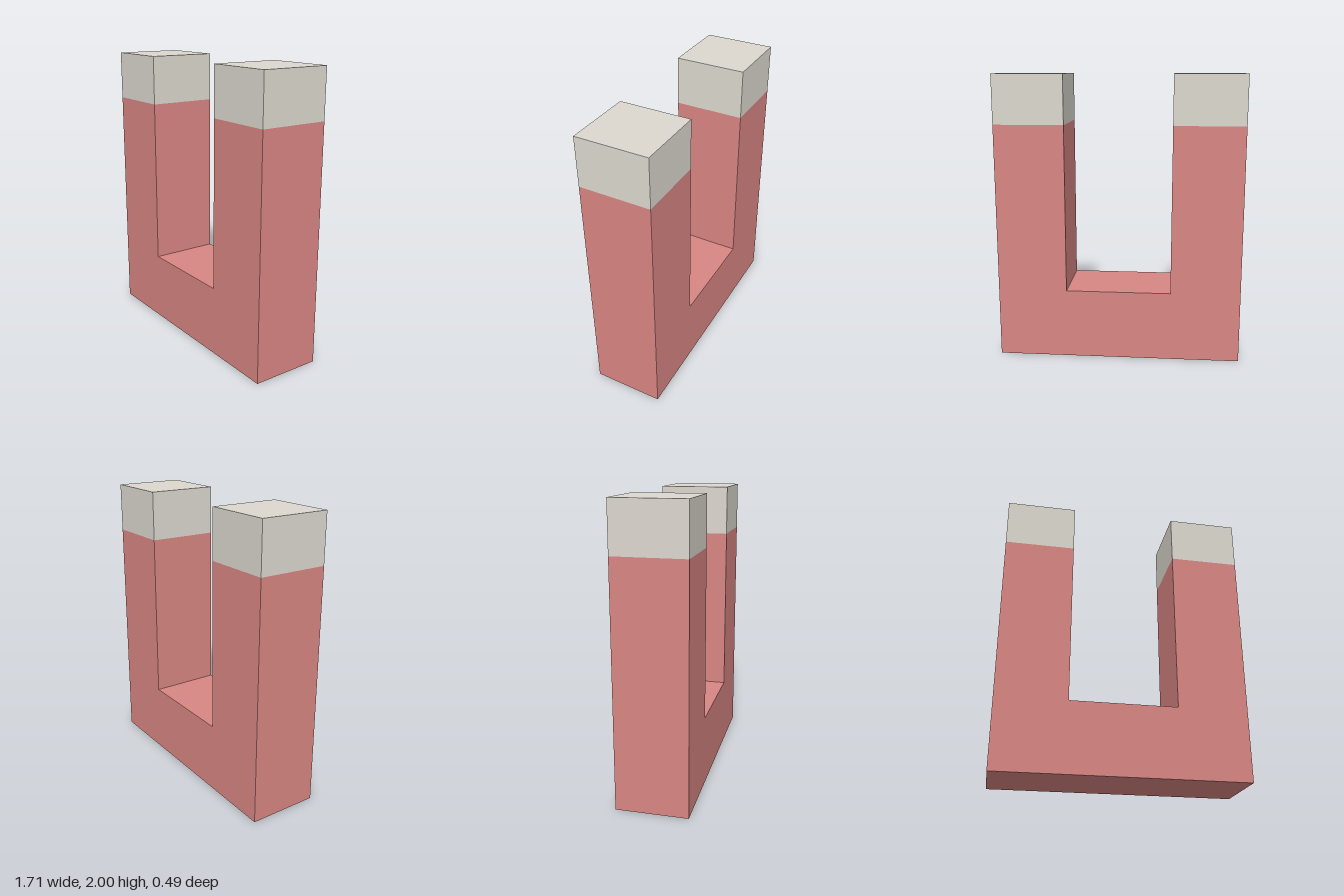
import * as THREE from 'three';

const HALF_WIDTH = 0.855, INNER = 0.368, BASE = 0.49, DEPTH = 0.49;
const BODY_TOP = 1.66, HEIGHT = 2;

export function createModel() {
  const group = new THREE.Group();
  const red = new THREE.MeshStandardMaterial({ color: 0xd88683 });
  const pale = new THREE.MeshStandardMaterial({ color: 0xdcd8cf });

  // U-shaped body: two arms joined by a base
  const outline = new THREE.Shape([
    [-HALF_WIDTH, 0], [HALF_WIDTH, 0], [HALF_WIDTH, BODY_TOP], [INNER, BODY_TOP],
    [INNER, BASE], [-INNER, BASE], [-INNER, BODY_TOP], [-HALF_WIDTH, BODY_TOP],
  ].map(([x, y]) => new THREE.Vector2(x, y)));
  const bodyGeometry = new THREE.ExtrudeGeometry(outline, { depth: DEPTH, bevelEnabled: false });
  bodyGeometry.translate(0, 0, -DEPTH / 2);
  const body = new THREE.Mesh(bodyGeometry, red);
  body.name = 'body';
  group.add(body);

  // Pale tips capping the arms
  const tipGeometry = new THREE.BoxGeometry(HALF_WIDTH - INNER, HEIGHT - BODY_TOP, DEPTH);
  for (const side of [-1, 1]) {
    const tip = new THREE.Mesh(tipGeometry, pale);
    tip.name = side > 0 ? 'leftTip' : 'rightTip';
    tip.position.set(side * (HALF_WIDTH + INNER) / 2, (HEIGHT + BODY_TOP) / 2, 0);
    group.add(tip);
  }
  return group;
}
